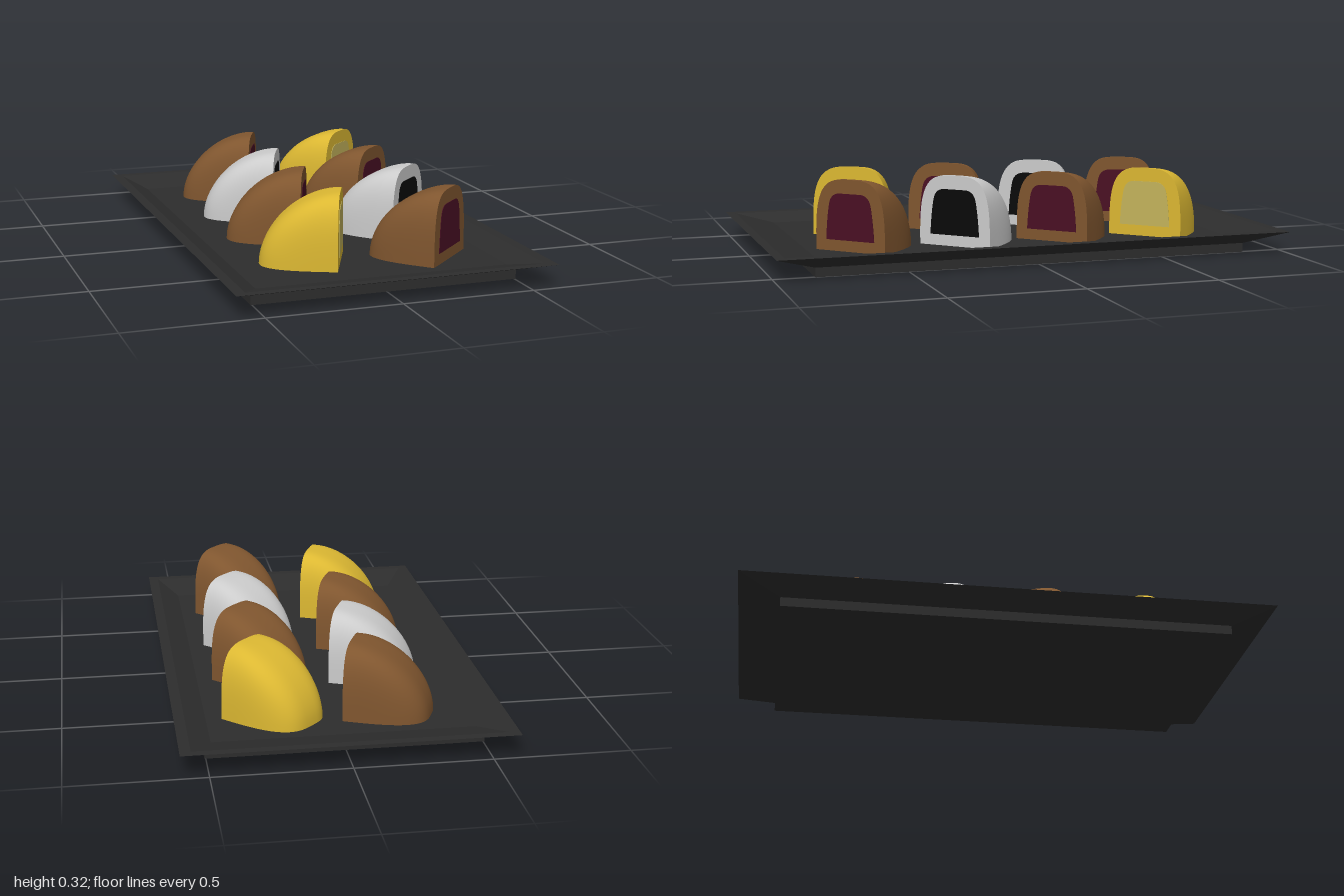
import * as THREE from 'three';

const FLOOR = 0.05;                      // inner floor of the tray
const W = 0.15, D = 0.3, H = 0.27;       // half width, depth and height of a sweet

const mat = (color, opts = {}) => new THREE.MeshStandardMaterial({ color, ...opts });

function mesh(name, geometry, material) {
  const m = new THREE.Mesh(geometry, material);
  m.name = name;
  return m;
}

// Superellipse falloff: 1 at t = 0, 0 at t = 1
const falloff = (t, n) => Math.pow(Math.max(0, 1 - Math.pow(t, n)), 1 / n);
const widthAt = (v) => W * falloff(v, 3.5);
const depthAt = (v) => D * falloff(v, 1.85);
const spow = (c, e) => Math.sign(c) * Math.pow(Math.abs(c), e);

// Shallow tray: rectangular rings [half x, half z, y] joined in loops
function trayGeometry() {
  const rings = [
    [0, 0, 0], [0.505, 0.845, 0], [0.505, 0.845, 0.035], [0.6, 1, 0.085],
    [0.56, 0.965, 0.085], [0.48, 0.82, FLOOR], [0, 0, FLOOR],
  ];
  const corners = [[1, 1], [1, -1], [-1, -1], [-1, 1]];
  const point = (r, c) => [rings[r][0] * corners[c % 4][0], rings[r][2], rings[r][1] * corners[c % 4][1]];
  const pos = [];
  for (let r = 0; r < rings.length - 1; r++) {
    for (let c = 0; c < 4; c++) {
      const a = point(r, c), b = point(r, c + 1), d = point(r + 1, c + 1), e = point(r + 1, c);
      pos.push(...a, ...b, ...d, ...a, ...d, ...e);
    }
  }
  const g = new THREE.BufferGeometry();
  g.setAttribute('position', new THREE.Float32BufferAttribute(pos, 3));
  g.computeVertexNormals();
  return g;
}

// Domed skin: a plane wrapped around the back of the sweet
function skinGeometry() {
  const g = new THREE.PlaneGeometry(1, 1, 40, 24);
  const p = g.attributes.position, uv = g.attributes.uv;
  for (let i = 0; i < p.count; i++) {
    const angle = Math.PI * uv.getX(i);
    const v = 1 - Math.pow(1 - uv.getY(i), 2.5);
    p.setXYZ(i,
      widthAt(v) * spow(Math.cos(angle), 2 / 3.2),
      v * H,
      -depthAt(v) * Math.pow(Math.max(0, Math.sin(angle)), 2 / 3.2));
  }
  g.computeVertexNormals();
  return g;
}

// Flat cut face with the same outline as the skin
function cutGeometry() {
  const right = [];
  for (let i = 0; i <= 24; i++) {
    const v = 1 - Math.pow(1 - i / 24, 2.5);
    right.push(new THREE.Vector2(widthAt(v), v * H));
  }
  const left = right.slice(0, -1).reverse().map((q) => new THREE.Vector2(-q.x, q.y));
  return new THREE.ShapeGeometry(new THREE.Shape([...right, ...left]));
}

// Filling: rounded trapezoid set into the cut face
function fillingGeometry() {
  const s = new THREE.Shape();
  s.moveTo(-0.104, 0.042);
  s.lineTo(0.104, 0.042);
  s.quadraticCurveTo(0.1, 0.12, 0.09, 0.175);
  s.quadraticCurveTo(0.082, 0.216, 0.045, 0.217);
  s.lineTo(-0.045, 0.217);
  s.quadraticCurveTo(-0.082, 0.216, -0.09, 0.175);
  s.quadraticCurveTo(-0.1, 0.12, -0.104, 0.042);
  const g = new THREE.ExtrudeGeometry(s, { depth: 0.012, bevelEnabled: false, curveSegments: 10 });
  return g.translate(0, 0, -0.01);
}

export function createModel() {
  const model = new THREE.Group();
  model.name = 'trayOfSweets';
  model.add(mesh('tray', trayGeometry(), mat(0x2d2d2d, { flatShading: true })));

  const skin = skinGeometry(), cut = cutGeometry(), filling = fillingGeometry();
  const flavour = (outer, inner) => ({
    outer: mat(outer, { side: THREE.DoubleSide }),
    inner: mat(inner),
  });
  const brown = flavour(0x80562f, 0x4a1024);
  const yellow = flavour(0xdcb832, 0xc4b45c);
  const white = flavour(0xcccccc, 0x0a0a0a);

  // Cut face centre x, z, turn and flavour of each sweet, back to front
  const leftTurn = Math.PI / 4, rightTurn = Math.atan2(0.917, 0.4);
  const sweets = [
    [0.315, -0.511, leftTurn, yellow],
    [0.315, -0.121, leftTurn, brown],
    [0.315, 0.27, leftTurn, white],
    [0.315, 0.674, leftTurn, brown],
    [-0.07, -0.565, rightTurn, brown],
    [-0.08, -0.188, rightTurn, white],
    [-0.09, 0.19, rightTurn, brown],
    [-0.08, 0.583, rightTurn, yellow],
  ];
  for (const [x, z, turn, { outer, inner }] of sweets) {
    const sweet = new THREE.Group();
    sweet.name = 'halvedSweet';
    sweet.add(
      mesh('sweetSkin', skin, outer),
      mesh('cutFace', cut, outer),
      mesh('filling', filling, inner),
    );
    sweet.position.set(x, FLOOR, z);
    sweet.rotation.y = turn;
    model.add(sweet);
  }
  return model;
}
